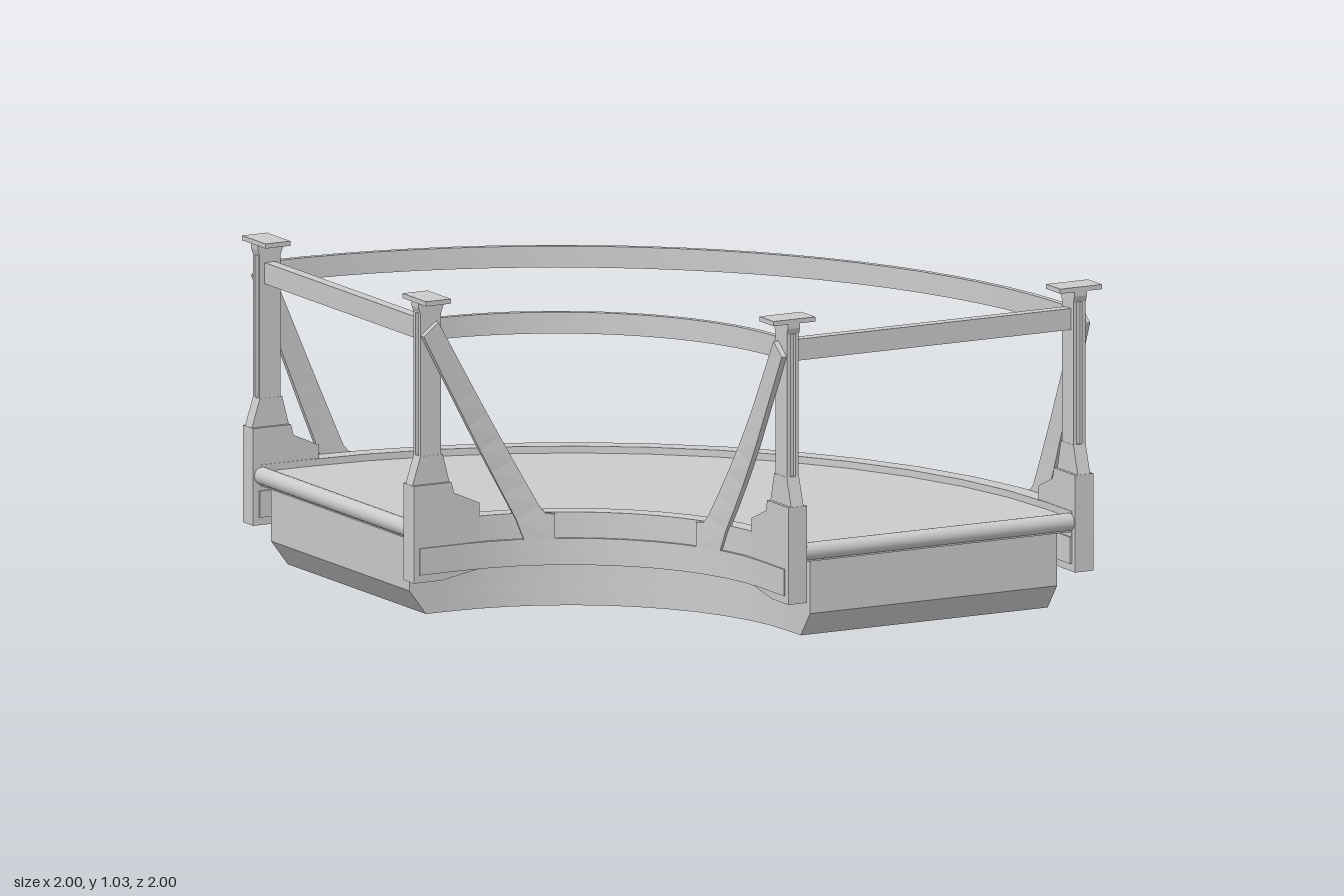
import * as THREE from 'three';
import { toCreasedNormals } from 'three/addons/utils/BufferGeometryUtils.js';

const C = 0.82;        // the bend is centred on x = -C, z = C
const STEPS = 12;
const mat = new THREE.MeshStandardMaterial({ color: 0xcccccc });

function add(group, name, geometry) {
  const mesh = new THREE.Mesh(geometry, mat);
  mesh.name = name;
  group.add(mesh);
  return mesh;
}

function box(x0, x1, y0, y1, z0, z1) {
  return new THREE.BoxGeometry(x1 - x0, y1 - y0, z1 - z0)
    .translate((x0 + x1) / 2, (y0 + y1) / 2, (z0 + z1) / 2);
}

// Quarter ring between two radii, with straight ends reaching out to `end`
function ring(r0, r1, end, y0, y1, c = C, steps = STEPS) {
  const pts = [];
  const arc = (r, from, to) => {
    for (let i = 0; i <= steps; i++) {
      const a = (from + (to - from) * i / steps) * Math.PI / 2;
      pts.push(new THREE.Vector2(-c + r * Math.sin(a), -c + r * Math.cos(a)));
    }
  };
  const straight = end > c + 1e-4;
  if (straight) pts.push(new THREE.Vector2(-end, r1 - c));
  arc(r1, 0, 1);
  if (straight) pts.push(new THREE.Vector2(r1 - c, -end), new THREE.Vector2(r0 - c, -end));
  arc(r0, 1, 0);
  if (straight) pts.push(new THREE.Vector2(-end, r0 - c));
  const g = new THREE.ExtrudeGeometry(new THREE.Shape(pts), { depth: y1 - y0, bevelEnabled: false });
  g.rotateX(-Math.PI / 2).translate(0, y0, 0);
  return toCreasedNormals(g, 0.5);
}

// Flat plate outlined in x and y, standing between z0 and z1
function plate(points, z0, z1) {
  const shape = new THREE.Shape(points.map(([x, y]) => new THREE.Vector2(x, y)));
  return new THREE.ExtrudeGeometry(shape, { depth: z1 - z0, bevelEnabled: false }).translate(0, 0, z0);
}

// Wrap a plate drawn at z = C - r around the bend of radius r
function wrap(g, r) {
  const p = g.attributes.position;
  for (let i = 0; i < p.count; i++) {
    const s = p.getX(i) + C, rad = C - p.getZ(i);
    if (s > 0) p.setXYZ(i, -C + rad * Math.sin(s / r), p.getY(i), C - rad * Math.cos(s / r));
  }
  g.computeVertexNormals();
  return g;
}

// Reflect a geometry onto the other end: (x, z) -> (-z, -x)
function reflect(source) {
  const g = source.index ? source.toNonIndexed() : source.clone();
  g.applyMatrix4(new THREE.Matrix4().set(0, 0, -1, 0, 0, 1, 0, 0, -1, 0, 0, 0, 0, 0, 0, 1));
  for (const key of ['position', 'normal']) {
    const a = g.attributes[key], v = new THREE.Vector3(), w = new THREE.Vector3();
    for (let i = 0; i < a.count; i += 3) {
      v.fromBufferAttribute(a, i + 1);
      w.fromBufferAttribute(a, i + 2);
      a.setXYZ(i + 1, w.x, w.y, w.z);
      a.setXYZ(i + 2, v.x, v.y, v.z);
    }
  }
  return g;
}

// Post with bracket, cap and brace; out is the z direction away from the deck
function addPost(group, label, z, out, footX) {
  // Bracket: broad plate with a narrower shoulder above
  add(group, label + 'Bracket', plate([[-1, 0.125], [-0.9, 0.125], [-0.76, 0.15], [-0.765, 0.36],
    [-0.855, 0.4], [-0.865, 0.435], [-1, 0.435]], z - 0.033, z + 0.033));
  add(group, label + 'Shoulder', plate([[-1, 0.43], [-0.865, 0.43], [-0.89, 0.525], [-0.97, 0.525]],
    z - 0.022, z + 0.022));
  // Post: two flanges joined by a web
  for (const s of [-1, 1]) {
    const zf = z + s * 0.015;
    add(group, label + 'PostFlange', box(-0.97, -0.895, 0.43, 1, zf - 0.006, zf + 0.006));
  }
  add(group, label + 'PostWeb', box(-0.957, -0.908, 0.43, 1, z - 0.012, z + 0.012));
  // Flared head and cap
  add(group, label + 'PostHead', plate([[-0.97, 0.98], [-0.895, 0.98], [-0.888, 1], [-0.888, 1.018],
    [-0.977, 1.018], [-0.977, 1]], z - 0.022, z + 0.022));
  add(group, label + 'PostCap', box(-0.98, -0.89, 1.015, 1.03, z - 0.075, z + 0.075));
  // Slanted brace on the outer face, ending in a foot against the rim
  const zb = z + out * 0.03, r = C - zb;
  const n = 8, left = [], right = [];
  for (let i = 0; i <= n; i++) {
    const t = i / n;
    left.push([-0.968 + (footX - 0.045 + 0.968) * t, 0.91 - 0.61 * t]);
    right.push([-0.915 + (footX + 0.03 + 0.915) * t, 0.952 - 0.612 * t]);
  }
  // The brace is cut into short bays so that it can follow the bend
  for (let i = 0; i < n; i++) {
    const bay = plate([left[i], left[i + 1], right[i + 1], right[i]], zb - 0.009, zb + 0.009);
    add(group, label + 'Brace', wrap(bay, r));
  }
  add(group, label + 'BraceFoot', wrap(plate([left[n], [footX - 0.02, 0.235], [footX + 0.08, 0.235],
    [footX + 0.08, 0.312], [footX + 0.05, 0.316], right[n]], zb - 0.009, zb + 0.009), r));
}

export function createModel() {
  const model = new THREE.Group();
  model.name = 'curvedWalkway';

  // Hull, with the lower edge of both ends chamfered
  add(model, 'hull', ring(0.78, 1.665, 0.96, 0.08, 0.27));
  const keel = ring(0.78, 1.665, 0.96, 0, 0.08);
  const p = keel.attributes.position;
  for (let i = 0; i < p.count; i++) {
    if (p.getY(i) < 0.01) {
      p.setX(i, Math.max(p.getX(i), -0.9));
      p.setZ(i, Math.min(p.getZ(i), 0.9));
    }
  }
  keel.computeVertexNormals();
  add(model, 'keel', toCreasedNormals(keel, 0.5));

  // Deck and stepped rims
  add(model, 'deck', ring(0.72, 1.73, 0.975, 0.25, 0.295));
  add(model, 'outerRimLower', ring(1.70, 1.775, 0.98, 0.15, 0.235));
  add(model, 'outerRimUpper', ring(1.705, 1.765, 0.98, 0.235, 0.317));
  add(model, 'innerRimLower', ring(0.675, 0.75, 0.98, 0.15, 0.235));
  add(model, 'innerRimUpper', ring(0.685, 0.745, 0.98, 0.235, 0.317));

  // Curved handrails from post to post
  add(model, 'outerHandrail', ring(1.833, 1.853, 0.925, 0.89, 0.958, 0.925, 24));
  add(model, 'innerHandrail', ring(0.81, 0.83, 0.925, 0.89, 0.958, 0.925, 24));

  // One end: posts, cross rail and rounded deck edge
  const end = new THREE.Group();
  end.name = 'leftEnd';
  addPost(end, 'outer', -0.92, -1, -0.68);
  addPost(end, 'inner', 0.107, 1, -0.6);
  add(end, 'crossRail', box(-0.952, -0.915, 0.89, 0.958, -0.91, 0.1));
  add(end, 'deckEdge', new THREE.CylinderGeometry(0.028, 0.028, 0.97, 16)
    .rotateX(Math.PI / 2).translate(-0.968, 0.282, -0.41));
  model.add(end);

  // Other end is its reflection
  const other = new THREE.Group();
  other.name = 'frontEnd';
  for (const m of end.children) add(other, m.name, reflect(m.geometry));
  model.add(other);
  return model;
}
